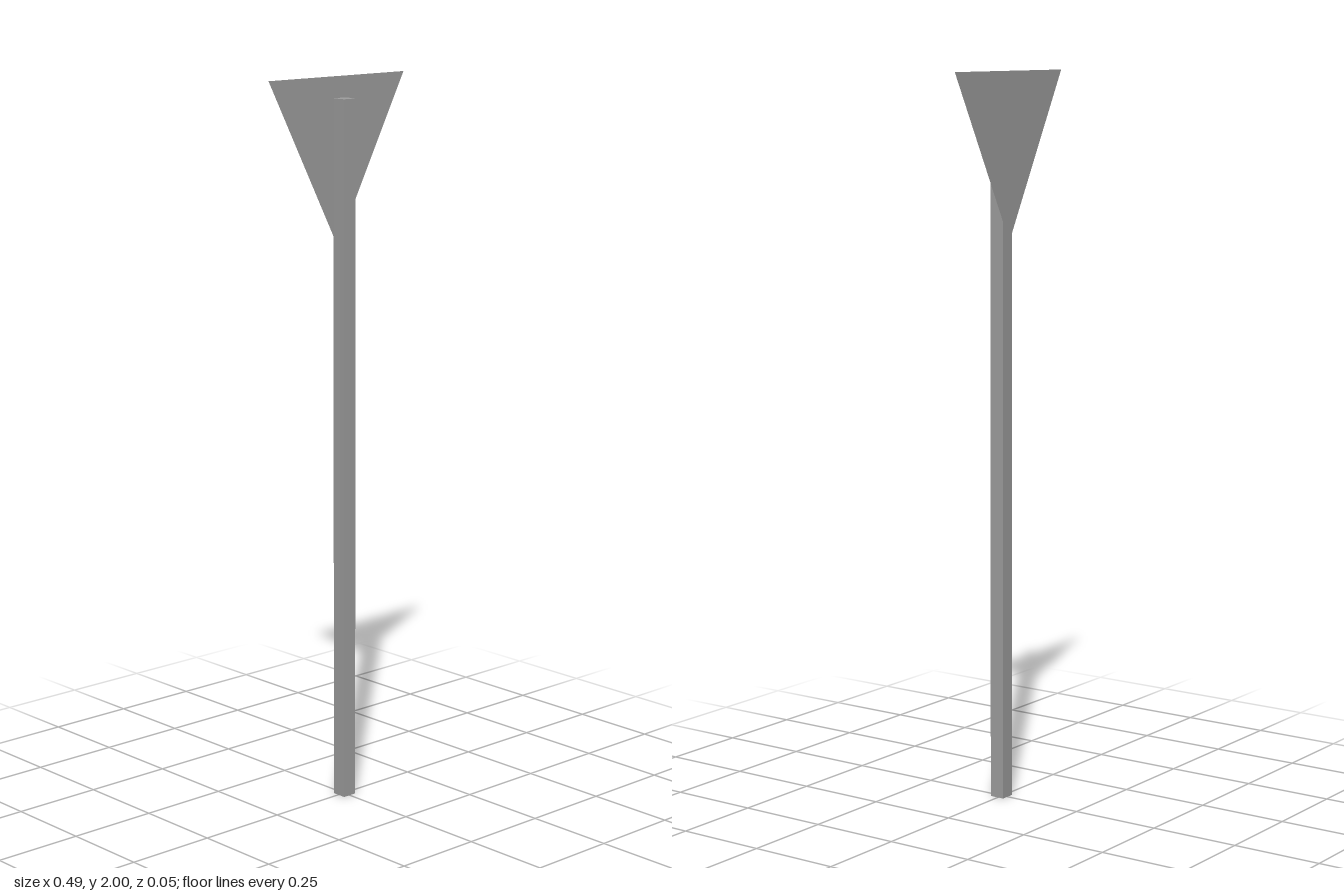
import * as THREE from 'three';

export function createModel() {
  const group = new THREE.Group();
  const grey = new THREE.MeshStandardMaterial({ color: 0x9e9e9e, flatShading: true });
  const thinGrey = grey.clone();
  thinGrey.side = THREE.DoubleSide;

  // Square post, slightly ahead of centre to leave room for the plate
  const size = 0.042, height = 1.943;
  const post = new THREE.Mesh(new THREE.BoxGeometry(size, height, size), grey);
  post.name = 'post';
  post.position.set(0, height / 2, 0.003);
  group.add(post);

  // Thin triangular sign plate, point down, just behind the post
  const triangle = new THREE.Shape([
    new THREE.Vector2(0, 1.546),
    new THREE.Vector2(0.243, 2),
    new THREE.Vector2(-0.243, 2),
  ]);
  const plate = new THREE.Mesh(new THREE.ShapeGeometry(triangle), thinGrey);
  plate.name = 'signPlate';
  plate.position.z = -0.024;
  group.add(plate);

  return group;
}
